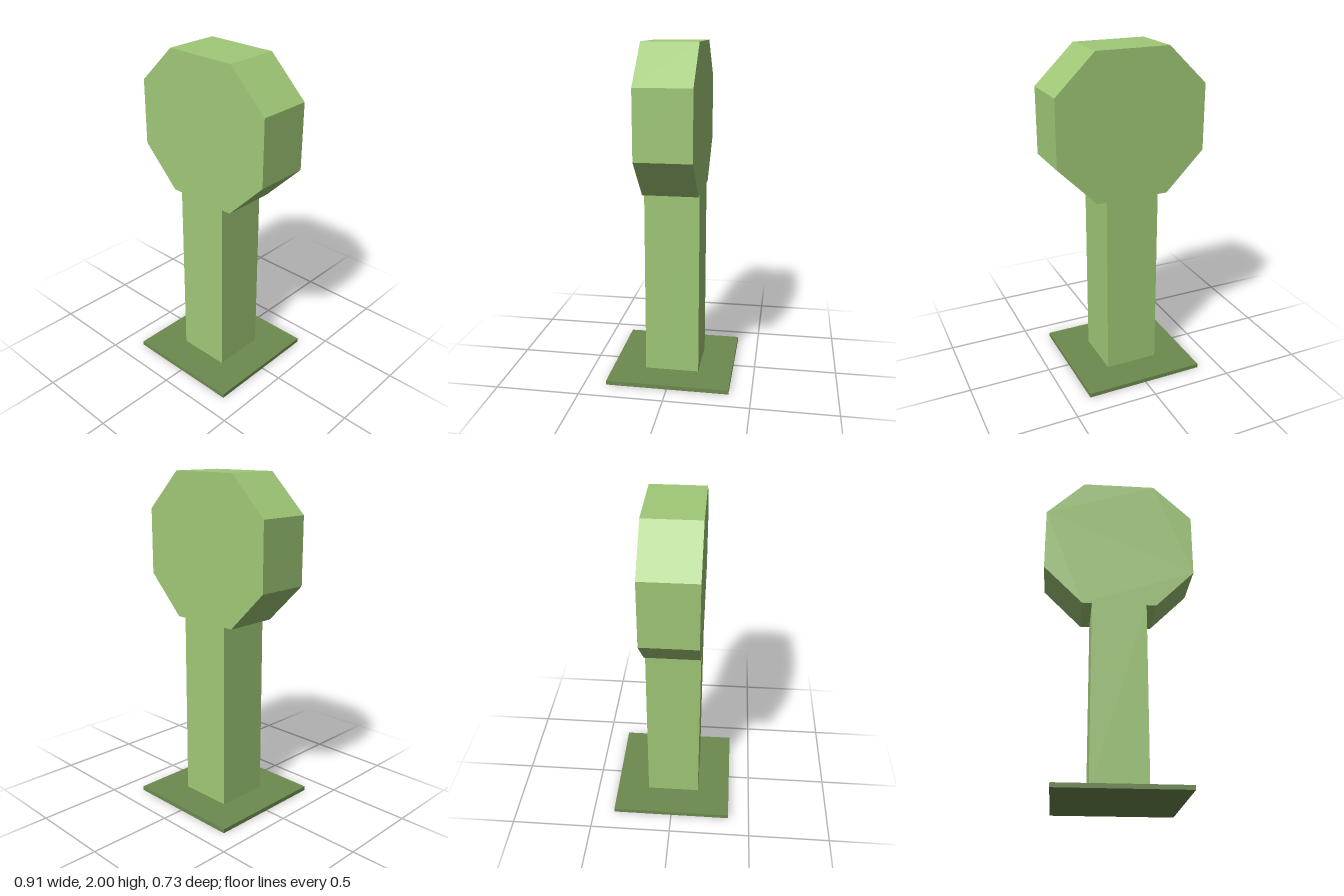
import * as THREE from 'three';

export function createModel() {
  const model = new THREE.Group();
  const leafGreen = new THREE.MeshStandardMaterial({ name: 'leafGreen', color: 0xa0c977 });
  const mossGreen = new THREE.MeshStandardMaterial({ name: 'mossGreen', color: 0x6e8a4f });
  const depth = 0.326;

  const add = (name, geometry, material, y) => {
    const mesh = new THREE.Mesh(geometry, material);
    mesh.name = name;
    mesh.position.y = y;
    model.add(mesh);
  };

  // Thin square base plate
  add('basePlate', new THREE.BoxGeometry(0.734, 0.025, 0.734), mossGreen, 0.0125);

  // Square post, from the plate to the underside of the head
  add('post', new THREE.BoxGeometry(depth, 1.117, depth), leafGreen, 0.025 + 1.117 / 2);

  // Octagonal head slab, as deep as the post
  const outline = [
    [-0.221, 0], [0.221, 0], [0.455, 0.235], [0.455, 0.63],
    [0.221, 0.858], [-0.221, 0.858], [-0.455, 0.63], [-0.455, 0.235],
  ];
  const octagon = new THREE.Shape(outline.map(([x, y]) => new THREE.Vector2(x, y)));
  const head = new THREE.ExtrudeGeometry(octagon, { depth, bevelEnabled: false });
  head.translate(0, 0, -depth / 2);
  add('head', head, leafGreen, 1.142);

  return model;
}
